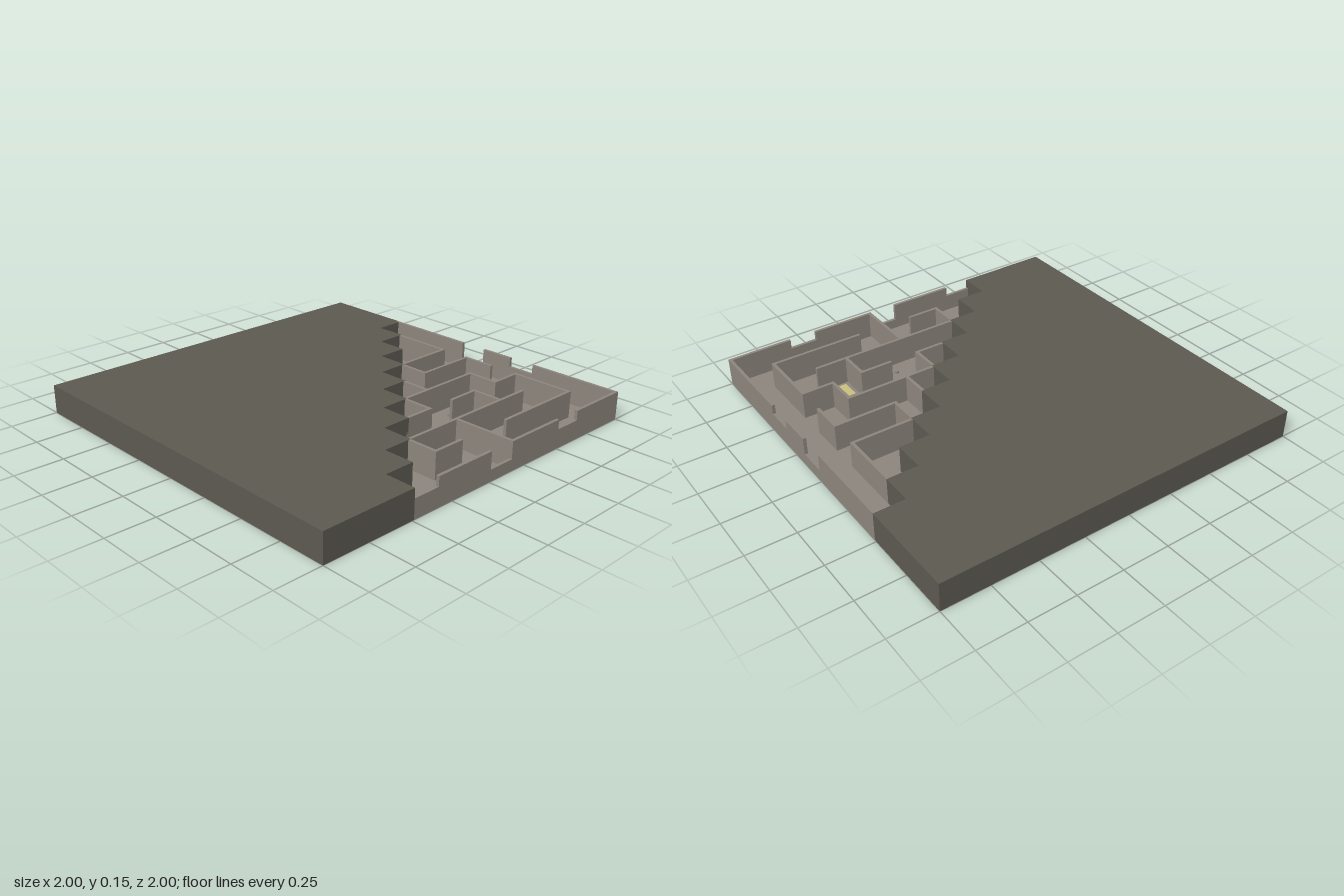
import * as THREE from 'three';

const CELLS = 12, T = 0.0165, H = T / 2, TOP = 0.15, WALL = 0.1495;
const STEP = (2 - T) / CELLS;
const node = (i) => -1 + H + i * STEP; // grid line position
const mid = (i) => node(i + 0.5); // cell centre

export function createModel() {
  const model = new THREE.Group();
  const stone = new THREE.MeshStandardMaterial({ name: 'paleStone', color: 0x8c857d });
  const dark = new THREE.MeshStandardMaterial({ name: 'darkStone', color: 0x5c5950 });
  const earth = new THREE.MeshStandardMaterial({ name: 'brownEarth', color: 0x5f4c32 });
  const gold = new THREE.MeshStandardMaterial({ name: 'paleGold', color: 0xc9be7e });

  const add = (name, geometry, material, x = 0, y = 0, z = 0, parent = model) => {
    const mesh = new THREE.Mesh(geometry, material);
    mesh.name = name;
    mesh.position.set(x, y, z);
    parent.add(mesh);
    return mesh;
  };

  // Stepped diagonal dividing the open maze from the covered part
  const stairs = [];
  for (let r = 0; r < 9; r++) {
    const x = node(r + 3) + H;
    stairs.push([x, node(r) - H], [x, node(r + 1) - H]);
  }
  // Horizontal slab from an x/z outline
  const slab = (points, depth) => {
    const shape = new THREE.Shape(points.map(([x, z]) => new THREE.Vector2(x, -z)));
    return new THREE.ExtrudeGeometry(shape, { depth, bevelEnabled: false }).rotateX(-Math.PI / 2);
  };
  const covered = [[-1, -1], ...stairs, [1, stairs[17][1]], [1, 1], [-1, 1]];
  const open = [...stairs, [1, stairs[17][1]], [1, -1]];
  add('coveredBlock', slab(covered, TOP - 0.002), dark, 0, 0.002);
  add('coveredUnderside', slab(covered, 0.002), earth);
  add('mazeFloor', slab(open, 0.008), stone);

  const walls = new THREE.Group();
  walls.name = 'walls';
  model.add(walls);
  // Wall between two grid nodes, along x or z
  const wall = (name, x0, z0, x1, z1, height = WALL, extra = T) => {
    const w = x1 > x0 ? (x1 - x0) * STEP + extra : T;
    const d = z1 > z0 ? (z1 - z0) * STEP + extra : T;
    add(name, new THREE.BoxGeometry(w, height, d), stone,
      (node(x0) + node(x1)) / 2, height / 2, (node(z0) + node(z1)) / 2, walls);
  };

  // Inner walls: from node x, z to node x, z
  [
    [4, 1, 6, 1], [7, 1, 8, 1], [9, 1, 11, 1],
    [6, 1, 6, 3], [7, 1, 7, 3], [6, 3, 7, 3],
    [8, 2, 8, 5], [8, 2, 9, 2], [9, 1, 9, 2],
    [10, 2, 10, 5], [9, 3, 10, 3], [9, 3, 9, 4],
    [11, 1, 11, 4], [7, 4, 8, 4],
    [8, 5, 9, 5], [10, 5, 12, 5], [9, 5, 9, 6],
    [10, 5, 10, 7], [10, 7, 11, 7], [11, 6, 11, 7],
  ].forEach((w) => wall('innerWall', ...w));

  // Outer walls, with lowered openings between full-height stretches
  const LOW = 0.06, SILL = 0.1;
  wall('backWall', 3, 0, 6, 0, TOP);
  wall('backWall', 7, 0, 8, 0, TOP);
  wall('backWall', 9, 0, 12, 0, TOP);
  wall('backLowOpening', 6, 0, 7, 0, LOW, -T);
  wall('backSill', 8, 0, 9, 0, SILL, -T);
  wall('leftWall', 12, 0, 12, 2, TOP);
  wall('leftWall', 12, 3, 12, 5, TOP);
  wall('leftWall', 12, 6, 12, 8, TOP);
  wall('leftSill', 12, 2, 12, 3, SILL, -T);
  wall('leftLowOpening', 12, 5, 12, 6, LOW, -T);
  wall('leftSill', 12, 8, 12, 9, SILL, -T);

  // Floor marker and trail of small studs
  add('floorMarker', new THREE.BoxGeometry(0.106, 0.006, 0.106), gold, mid(9), 0.011, mid(2));
  for (let i = 0; i < 3; i++) {
    add('floorStud', new THREE.CylinderGeometry(0.012, 0.012, 0.012, 16), stone,
      mid(7 + i), 0.014, mid(2 + i));
  }
  return model;
}
